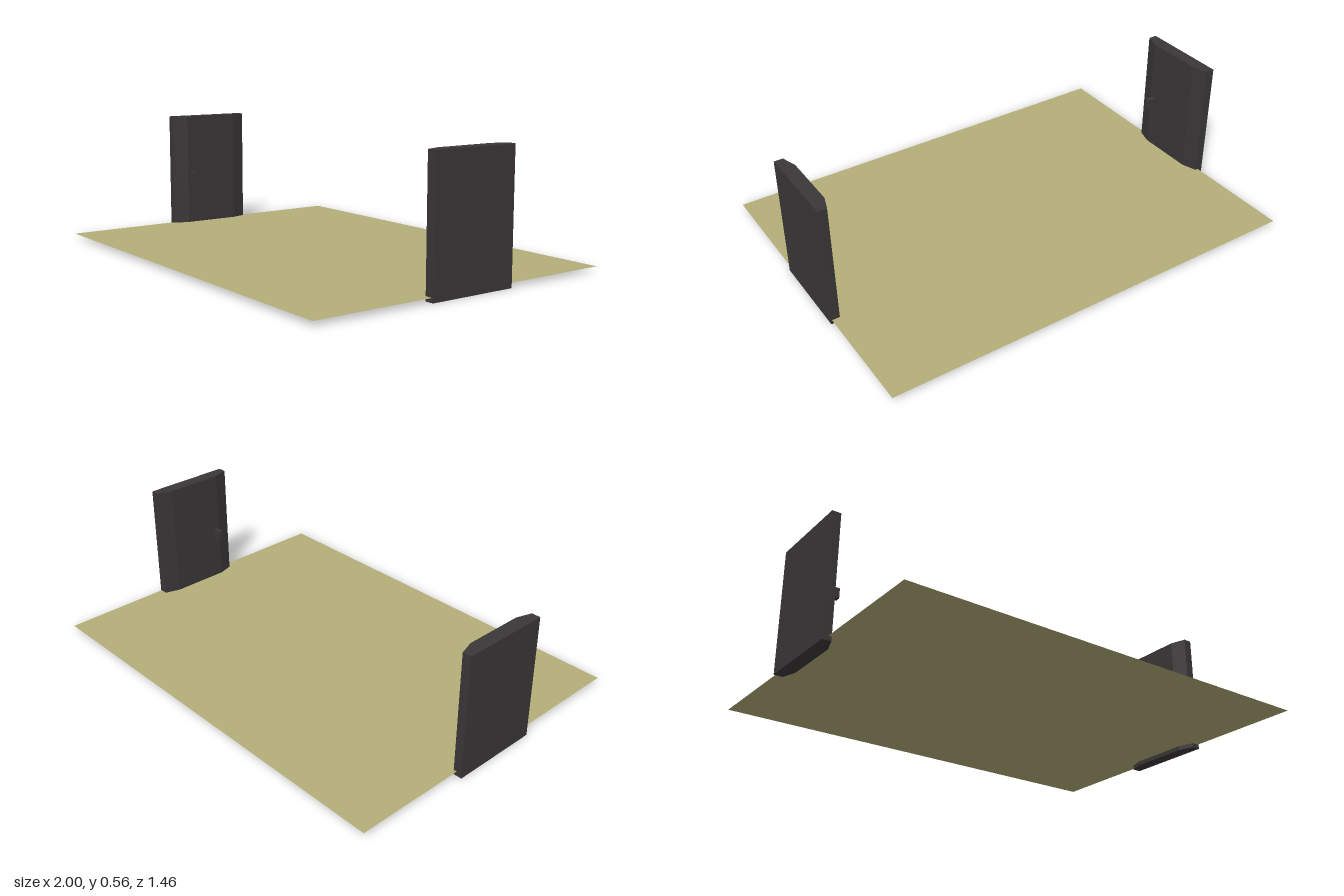
import * as THREE from 'three';

export function createModel() {
  const model = new THREE.Group();
  const dark = new THREE.MeshStandardMaterial({ color: 0x3b3738, flatShading: true });
  const khaki = new THREE.MeshStandardMaterial({ color: 0xb5ae7a, side: THREE.DoubleSide });

  const add = (name, geometry, material, parent = model) => {
    const mesh = new THREE.Mesh(geometry, material);
    mesh.name = name;
    parent.add(mesh);
    return mesh;
  };

  // Thin ground sheet, a little above the foot of the panels
  const sheet = new THREE.PlaneGeometry(1.97, 1.46).rotateX(-Math.PI / 2);
  add('floorSheet', sheet, khaki).position.set(0.01, 0.02, 0);

  // Plan outline of an upright panel as [x, z], inner corners chamfered
  const outline = [
    [1, -0.22], [0.96, -0.22], [0.938, -0.15],
    [0.938, 0.12], [0.96, 0.19], [1, 0.19],
  ];

  for (const side of [1, -1]) {
    const post = new THREE.Group();
    post.name = side > 0 ? 'leftPost' : 'rightPost';
    model.add(post);

    const shape = new THREE.Shape(outline.map(([x, z]) => new THREE.Vector2(side * x, -z)));
    const panel = new THREE.ExtrudeGeometry(shape, { depth: 0.565, bevelEnabled: false });
    add('panel', panel.rotateX(-Math.PI / 2), dark, post);

    // Small peg on the inner face
    const peg = add('peg', new THREE.BoxGeometry(0.045, 0.045, 0.024), dark, post);
    peg.position.set(side * 0.925, 0.257, 0.1);
  }
  return model;
}
